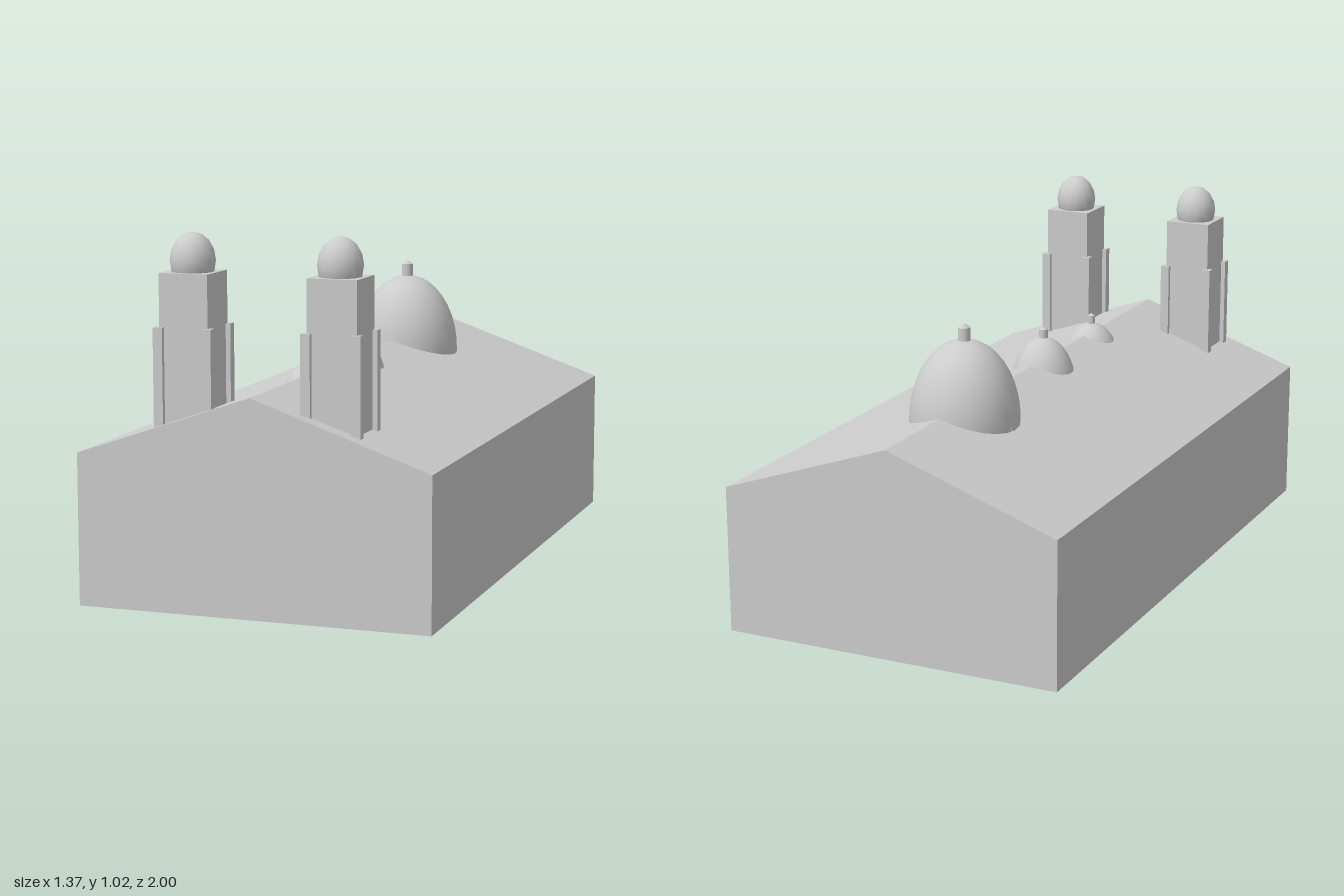
import * as THREE from 'three';

const W = 0.503, L = 0.913, EAVE = 0.425, RIDGE = 0.6;

export function createModel() {
  const stone = new THREE.MeshStandardMaterial({ color: 0xcccccc, side: THREE.DoubleSide });
  stone.name = 'paleStone';

  const model = new THREE.Group();
  model.name = 'church';
  const building = new THREE.Group();
  building.name = 'building';
  building.rotation.y = -0.211;
  model.add(building);

  const add = (parent, name, geometry, x = 0, y = 0, z = 0) => {
    const mesh = new THREE.Mesh(geometry, stone);
    mesh.name = name;
    mesh.position.set(x, y, z);
    parent.add(mesh);
    return mesh;
  };

  // Nave: side walls and roof slopes as flat strips along one profile, open below
  const profile = [[-W, 0], [-W, EAVE], [0, RIDGE], [W, EAVE], [W, 0]];
  const stripNames = ['rightWall', 'rightRoof', 'leftRoof', 'leftWall'];
  stripNames.forEach((name, i) => {
    const [p, q] = [profile[i], profile[i + 1]];
    const a = [...p, -L], b = [...p, L], c = [...q, L], d = [...q, -L];
    const g = new THREE.BufferGeometry();
    g.setAttribute('position', new THREE.Float32BufferAttribute([a, b, c, a, c, d].flat(), 3));
    g.computeVertexNormals();
    add(building, name, g);
  });

  // Gable ends
  const gable = new THREE.ShapeGeometry(new THREE.Shape(profile.map(([x, y]) => new THREE.Vector2(x, y))));
  add(building, 'frontGable', gable, 0, 0, L);
  add(building, 'backGable', gable, 0, 0, -L).rotation.y = Math.PI;

  // Twin bell towers with four corner buttresses and an egg-shaped cap
  for (const side of [-1, 1]) {
    const tower = new THREE.Group();
    tower.name = side > 0 ? 'leftTower' : 'rightTower';
    tower.position.set(side * 0.21, 0, 0.788);
    building.add(tower);
    add(tower, 'towerBody', new THREE.BoxGeometry(0.14, 0.855, 0.14), 0, 0.4875, 0);
    for (const x of [-0.07, 0.07]) {
      for (const z of [-0.07, 0.07]) {
        add(tower, 'buttress', new THREE.BoxGeometry(0.027, 0.77, 0.027), x, 0.385, z);
      }
    }
    add(tower, 'towerCap', new THREE.SphereGeometry(0.062, 16, 8), 0, 0.945, 0).scale.y = 1.24;
  }

  // Ridge domes: drum with a ring of narrow openings, ovoid shell and finial
  const addDome = (name, z, r, bottom, base, top, finialR, finialTop) => {
    const dome = new THREE.Group();
    dome.name = name;
    dome.position.z = z;
    building.add(dome);
    const h = base - bottom, band = h * 0.2;
    add(dome, 'drumCore', new THREE.CylinderGeometry(r * 0.93, r * 0.93, h, 24), 0, bottom + h / 2, 0);
    for (const y of [bottom + band / 2, base - band / 2]) {
      add(dome, 'drumBand', new THREE.CylinderGeometry(r, r, band, 24), 0, y, 0);
    }
    const count = 16;
    for (let i = 0; i < count; i++) {
      const angle = (i / count) * Math.PI * 2;
      const pier = add(dome, 'drumPier', new THREE.BoxGeometry(r * 0.27, h, r * 0.08),
        Math.sin(angle) * r * 0.945, bottom + h / 2, Math.cos(angle) * r * 0.945);
      pier.rotation.y = angle;
    }
    const shell = new THREE.SphereGeometry(r, 24, 10, 0, Math.PI * 2, 0, Math.PI / 2);
    add(dome, 'domeShell', shell, 0, base, 0).scale.y = (top - base) / r;
    // Finial: short post with a small pointed top
    const fh = finialTop - top;
    add(dome, 'finialPost', new THREE.CylinderGeometry(finialR, finialR, fh, 12), 0, top + fh * 0.25, 0);
    add(dome, 'finialTip', new THREE.ConeGeometry(finialR, fh * 0.25, 12), 0, top + fh * 0.875, 0);
  };
  addDome('largeDome', -0.444, 0.158, 0.48, 0.56, 0.79, 0.018, 0.837);
  addDome('middleDome', 0.082, 0.103, 0.432, 0.49, 0.67, 0.013, 0.702);
  addDome('smallDome', 0.44, 0.091, 0.432, 0.49, 0.63, 0.011, 0.662);

  return model;
}
